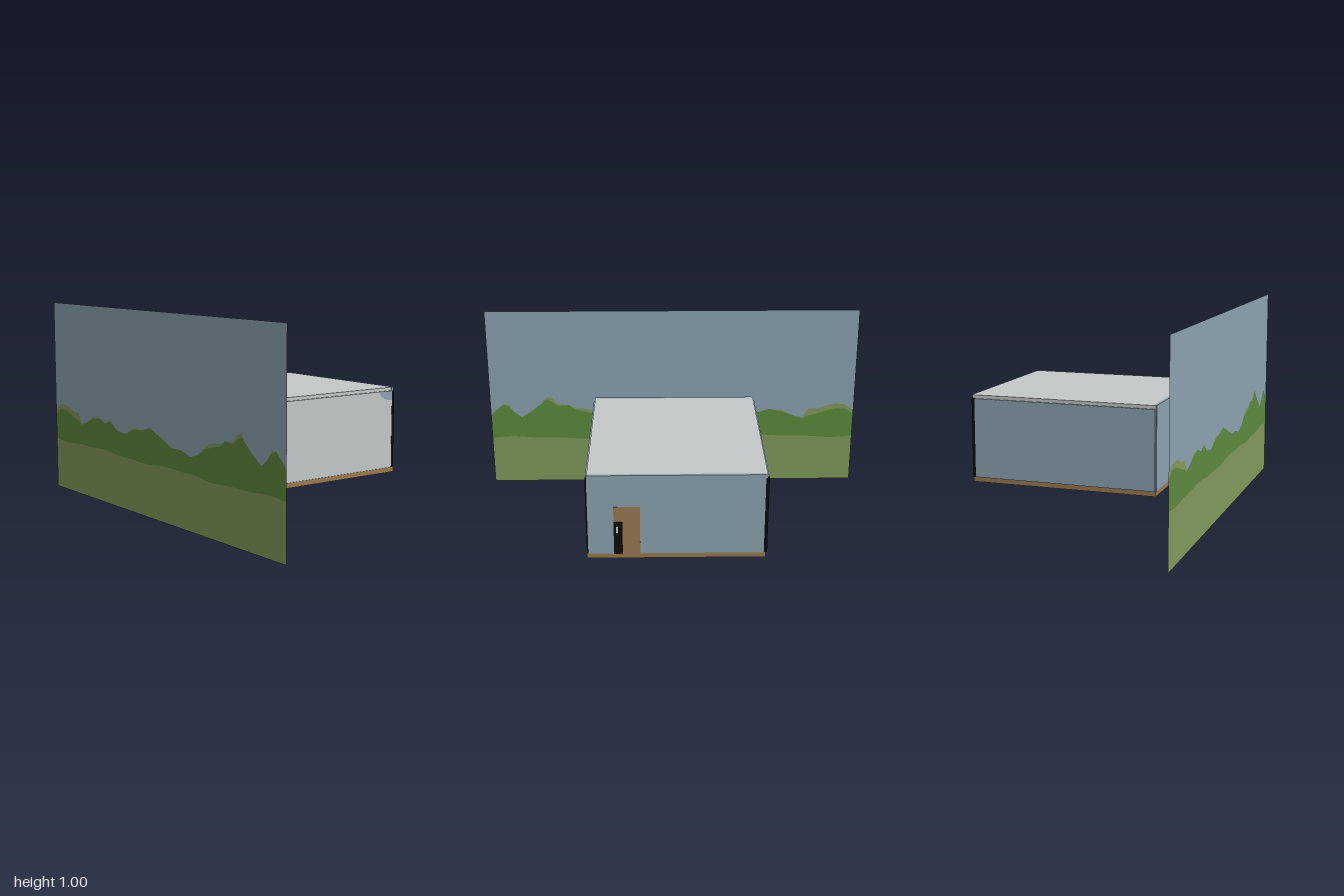
import * as THREE from 'three';

export function createModel() {
  const root = new THREE.Group();
  const mat = (name, color, side = THREE.FrontSide) =>
    Object.assign(new THREE.MeshStandardMaterial({ color, side }), { name });
  const plaster = mat('plaster grey', 0xc4c7c9);
  const blue = mat('wall blue', 0x8ca3b1);
  const wood = mat('wood brown', 0x9a7a50);
  const black = mat('black', 0x0c0c0c);
  const sky = mat('sky blue', 0x8ca3b1, THREE.DoubleSide);
  const hedge = mat('hedge green', 0x5d8a3e, THREE.DoubleSide);
  const grass = mat('grass green', 0x819a5a, THREE.DoubleSide);

  // Box given by its lower and upper corners
  function box(name, material, x0, x1, y0, y1, z0, z1) {
    const geo = new THREE.BoxGeometry(x1 - x0, y1 - y0, z1 - z0);
    geo.translate((x0 + x1) / 2, (y0 + y1) / 2, (z0 + z1) / 2);
    const mesh = new THREE.Mesh(geo, material);
    mesh.name = name;
    root.add(mesh);
    return mesh;
  }

  // Room shell
  box('floor', wood, -0.355, 0.575, 0.165, 0.19, -0.42, 0.42);
  box('roof', plaster, -0.355, 0.574, 0.58, 0.597, -0.42, 0.41);
  box('frontWall', [blue, blue, blue, blue, plaster, blue], -0.352, 0.56, 0.19, 0.58, 0.405, 0.418);
  box('backWall', blue, -0.352, 0.56, 0.19, 0.58, -0.428, -0.415);
  box('rightWall', blue, 0.562, 0.576, 0.19, 0.597, -0.412, 0.412);
  box('leftWall', blue, -0.356, -0.342, 0.19, 0.597, -0.412, 0.405);

  // Dark corner strips beside the door wall
  box('frontCorner', black, 0.56, 0.574, 0.19, 0.58, 0.405, 0.419);
  box('backCorner', black, 0.56, 0.574, 0.19, 0.58, -0.428, -0.412);
  box('leftCorner', black, -0.357, -0.352, 0.19, 0.43, 0.405, 0.418);

  // Blue patch in the upper corner of the front wall
  const patchShape = new THREE.Shape([
    [0.56, 0.58], [0.478, 0.58], [0.479, 0.56], [0.495, 0.55], [0.51, 0.541], [0.53, 0.536], [0.56, 0.534],
  ].map(([x, y]) => new THREE.Vector2(x, y)));
  const patch = new THREE.Mesh(new THREE.ShapeGeometry(patchShape), blue);
  patch.name = 'cornerPatch';
  patch.position.z = 0.4195;
  root.add(patch);

  // Door with dark lower panel, lock plate and knob
  box('door', wood, 0.574, 0.578, 0.19, 0.436, 0.168, 0.291);
  box('doorPanel', black, 0.577, 0.5795, 0.19, 0.358, 0.25, 0.291);
  box('lockPlate', plaster, 0.579, 0.581, 0.302, 0.334, 0.27, 0.28);
  box('doorKnob', black, 0.578, 0.584, 0.314, 0.324, 0.255, 0.268);

  // Backdrop outlines along z: [z, hedge top, thickness of pale leaves above it]
  const skyline = [
    [-1, 0.4, 0.02], [-0.95, 0.43, 0.025], [-0.9, 0.43, 0.03], [-0.85, 0.42, 0.03], [-0.8, 0.4, 0.03],
    [-0.75, 0.39, 0.04], [-0.72, 0.37, 0.01], [-0.68, 0.385, 0], [-0.6, 0.415, 0.01], [-0.53, 0.43, 0],
    [-0.47, 0.41, 0], [-0.42, 0.43, 0], [-0.36, 0.39, 0], [-0.28, 0.38, 0], [-0.2, 0.41, 0.01],
    [-0.12, 0.42, 0], [-0.05, 0.44, 0], [0.04, 0.41, 0], [0.14, 0.37, 0], [0.22, 0.37, 0],
    [0.3, 0.35, 0], [0.36, 0.37, 0], [0.42, 0.405, 0.01], [0.48, 0.42, 0.02], [0.53, 0.43, 0.01],
    [0.57, 0.46, 0], [0.63, 0.455, 0.01], [0.66, 0.48, 0.02], [0.69, 0.495, 0.015], [0.72, 0.47, 0],
    [0.77, 0.43, 0], [0.83, 0.39, 0], [0.87, 0.42, 0], [0.9, 0.455, 0.01], [0.93, 0.465, 0.005],
    [0.97, 0.43, 0], [1, 0.4, 0],
  ];
  const lawn = (z) => 0.266 + 0.006 * Math.sin(z * 9) + 0.003 * Math.sin(z * 23);

  // Flat strip standing between two height functions of a skyline point
  function strip(name, material, low, high) {
    const pos = [], index = [];
    skyline.forEach((p, i) => {
      pos.push(-0.583, low(p), p[0], -0.583, high(p), p[0]);
      if (i) {
        const a = 2 * i - 2;
        index.push(a, a + 2, a + 1, a + 1, a + 2, a + 3);
      }
    });
    const geo = new THREE.BufferGeometry();
    geo.setAttribute('position', new THREE.Float32BufferAttribute(pos, 3));
    geo.setIndex(index);
    geo.computeVertexNormals();
    const mesh = new THREE.Mesh(geo, material);
    mesh.name = name;
    root.add(mesh);
  }
  strip('backdropGrass', grass, () => 0, ([z]) => lawn(z));
  strip('backdropHedge', hedge, ([z]) => lawn(z), (p) => p[1]);
  strip('backdropLeaves', grass, (p) => p[1], (p) => p[1] + p[2]);
  strip('backdropSky', sky, (p) => p[1] + p[2], () => 1);

  return root;
}
